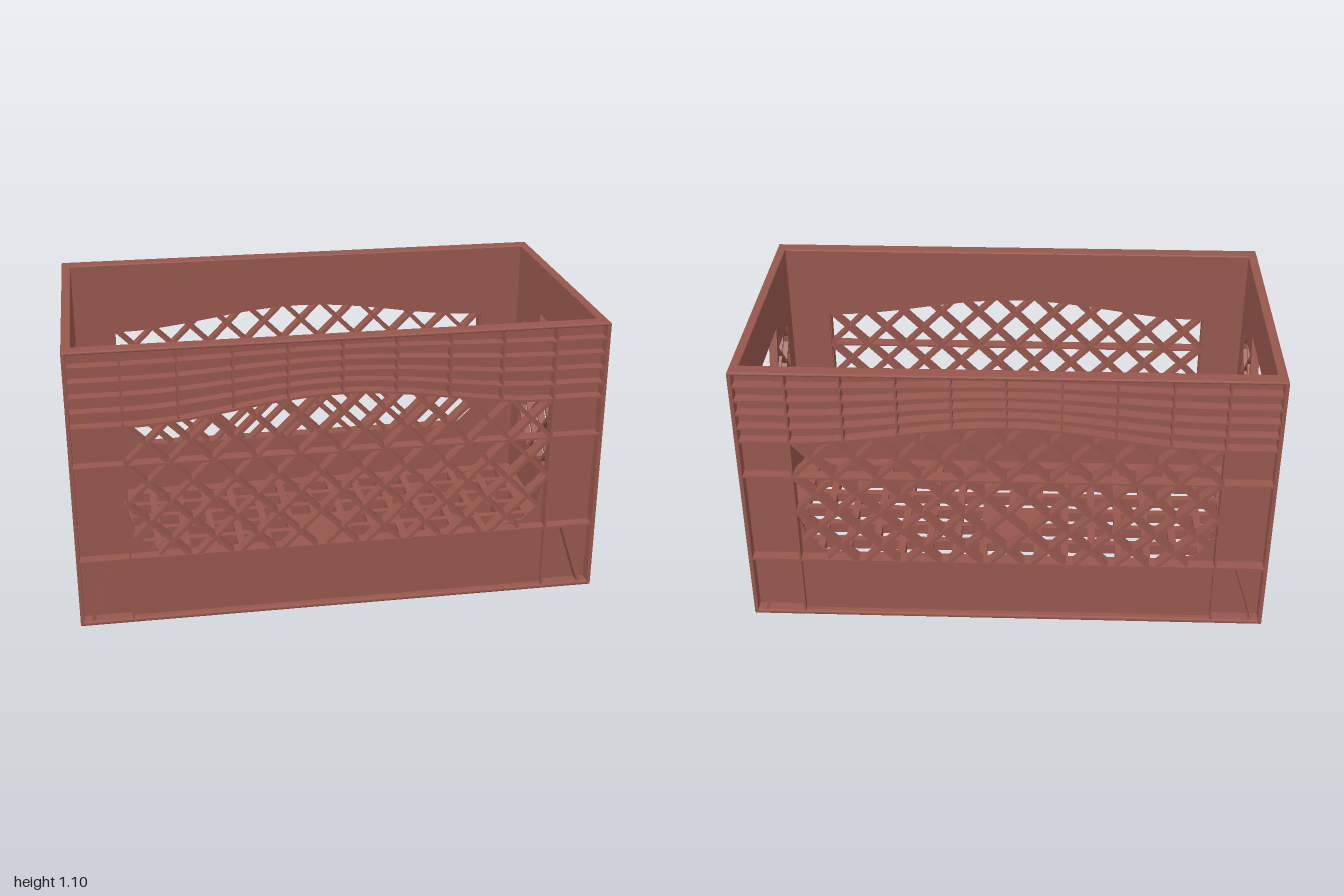
import * as THREE from 'three';

const H = 1.1, HX = 1, HZ = 0.547;
const plastic = new THREE.MeshStandardMaterial({ color: 0x96574d });
plastic.name = 'red brown plastic';

function add(group, geometry, name) {
  const mesh = new THREE.Mesh(geometry, plastic);
  mesh.name = name;
  group.add(mesh);
}

const toPoints = (pts) => pts.map(([x, y]) => new THREE.Vector2(x, y));
const rect = (x0, y0, x1, y1) => [[x0, y0], [x1, y0], [x1, y1], [x0, y1]];

// Flat plate between two depths, with optional holes
function plate(outline, holes, z0, z1) {
  const shape = new THREE.Shape(toPoints(outline));
  for (const h of holes) shape.holes.push(new THREE.Path(toPoints(h)));
  const g = new THREE.ExtrudeGeometry(shape, { depth: z1 - z0, bevelEnabled: false });
  return g.translate(0, 0, z0);
}

function box(x0, y0, x1, y1, z0, z1) {
  const g = new THREE.BoxGeometry(x1 - x0, y1 - y0, z1 - z0);
  return g.translate((x0 + x1) / 2, (y0 + y1) / 2, (z0 + z1) / 2);
}

// Straight bar between two points of a wall
function bar([ax, ay], [bx, by], width, z0, z1) {
  const g = new THREE.BoxGeometry(Math.hypot(bx - ax, by - ay), width, z1 - z0);
  g.rotateZ(Math.atan2(by - ay, bx - ax));
  return g.translate((ax + bx) / 2, (ay + by) / 2, (z0 + z1) / 2);
}

// Diagonal lattice, each bar cut to the window outline
function lattice(group, outline, pitch, y0, width, z0, z1) {
  for (const s of [1, -1]) {
    for (let k = -12; k <= 12; k++) {
      const c = y0 + k * pitch; // line y + s * x = c
      const hits = [];
      outline.forEach(([ax, ay], i) => {
        const [bx, by] = outline[(i + 1) % outline.length];
        const da = ay + s * ax - c, db = by + s * bx - c;
        if ((da < 0) !== (db < 0)) hits.push(ax + (bx - ax) * da / (da - db));
      });
      hits.sort((a, b) => a - b);
      for (let i = 0; i + 1 < hits.length; i += 2) {
        const a = hits[i] - 0.004, b = hits[i + 1] + 0.004;
        if (b - a > 0.02) add(group, bar([a, c - s * a], [b, c - s * b], width, z0, z1), 'latticeBar');
      }
    }
  }
}

// Arched rise of the long windows and of the ribs above them
const arch = (x) => (Math.abs(x) < 0.8 ? 0.04 * (1 + Math.cos(Math.PI * x / 0.8)) : 0);

function longWall() {
  const g = new THREE.Group();
  const inner = 0.49, back = 0.498, out = HZ - 0.002;
  const top = [];
  for (let i = 0; i <= 16; i++) top.push([0.8 - i * 0.1, 0.8 + arch(0.8 - i * 0.1)]);
  const win = [[-0.8, 0.45], [-0.77, 0.34], [-0.72, 0.29], [-0.62, 0.27],
    [0.62, 0.27], [0.72, 0.29], [0.77, 0.34], [0.8, 0.45], ...top];
  add(g, plate(rect(-0.988, 0.015, 0.988, 1.095), [win], inner, back + 0.002), 'longWallSheet');
  lattice(g, win, 0.16, 0.65, 0.014, inner + 0.002, out - 0.002);
  add(g, box(-0.995, 0.646, 0.995, 0.654, inner + 0.004, out), 'middleRib');

  // Lower panel with its ledge, and the posts beside it
  add(g, box(-0.8, 0.012, 0.8, 0.265, back, out - 0.025), 'lowerPanel');
  add(g, box(-0.995, 0.264, 0.995, 0.272, back, out), 'panelLedge');
  for (const s of [-1, 1]) {
    add(g, box(s * 0.8 - 0.004, 0.01, s * 0.8 + 0.004, H - 0.01, back, out), 'postRib');
    add(g, bar([s * 0.87, 0.267], [s * 0.95, 0.02], 0.01, back, out), 'cornerBrace');
  }

  // Ribbed band above the window
  for (let k = 0; k < 5; k++) {
    const lower = [], upper = [];
    for (let i = 0; i <= 40; i++) {
      const x = -0.995 + i * 0.04975;
      const y = 0.8 + k * 0.058 + arch(x) * (1 - k / 5);
      lower.push([x, y]);
      upper.unshift([x, y + 0.009]);
    }
    add(g, plate([...lower, ...upper], [], back, out), 'bandRib');
  }
  for (let i = -3; i <= 3; i++) {
    const x = i * 0.2;
    add(g, box(x - 0.004, 0.802 + arch(x), x + 0.004, H - 0.01, back, out), 'bandUpright');
  }
  return g;
}

function shortWall() {
  const g = new THREE.Group();
  const inner = 0.965, back = 0.974, out = HX - 0.002;
  const handle = [[-0.135, 0.745], [0.135, 0.745], [0.175, 0.895], [-0.175, 0.895]];
  const cup = [[0.19, 0.8], [0.15, 0.735], [0.1, 0.71], [0.04, 0.69],
    [-0.04, 0.69], [-0.1, 0.71], [-0.15, 0.735], [-0.19, 0.8]];
  const win = [[-0.385, 0.27], [0.385, 0.27], [0.385, 0.8], ...cup, [-0.385, 0.8]];
  add(g, plate(rect(-0.495, 0.015, 0.495, 1.095), [win, handle], inner, back), 'shortWallSheet');
  add(g, plate([[-0.2, 0.955], [-0.2, 0.8], ...cup.slice().reverse(), [0.2, 0.8], [0.2, 0.955]],
    [handle], back - 0.002, out), 'handleSurround');
  lattice(g, win, 0.163, 0.327, 0.015, inner + 0.001, out - 0.001);

  // Lower panel and post ribs
  add(g, box(-0.385, 0.012, 0.385, 0.265, back - 0.003, out - 0.012), 'lowerPanel');
  add(g, box(-0.385, 0.26, 0.385, 0.27, back - 0.003, out), 'panelLedge');
  for (const s of [-1, 1]) {
    add(g, box(s * 0.395 - 0.01, 0.01, s * 0.395 + 0.01, 0.8, back - 0.002, out), 'postRib');
    for (const y of [0.267, 0.652]) {
      add(g, box(s * 0.445 - 0.045, y - 0.004, s * 0.445 + 0.045, y + 0.004, back, out), 'postLedge');
    }
  }

  // Grid of square pockets around the handle
  for (const y of [0.803, 0.873, 0.947, 1.02]) {
    const spans = y < 0.94 ? [[-0.49, -0.195], [0.195, 0.49]] : [[-0.49, 0.49]];
    for (const [a, b] of spans) add(g, box(a, y - 0.008, b, y + 0.008, back, out), 'pocketRib');
  }
  for (let i = 0; i <= 10; i++) {
    const x = -0.485 + i * 0.097;
    const low = Math.abs(x) < 0.2 ? 0.945 : 0.8;
    add(g, box(x - 0.006, low, x + 0.006, H - 0.01, back, out), 'pocketUpright');
  }
  return g;
}

// Horizontal frame or grid with softened edges
function slab(hx, hz, holes, y0, y1, bevel) {
  const shape = new THREE.Shape(toPoints(rect(-hx + bevel, -hz + bevel, hx - bevel, hz - bevel)));
  for (const h of holes) shape.holes.push(new THREE.Path(toPoints(h)));
  const g = new THREE.ExtrudeGeometry(shape, {
    depth: y1 - y0 - 2 * bevel, bevelEnabled: bevel > 0,
    bevelSize: bevel, bevelThickness: bevel, bevelSegments: 2,
  });
  return g.rotateX(-Math.PI / 2).translate(0, y0 + bevel, 0);
}

export function createModel() {
  const crate = new THREE.Group();
  crate.name = 'crate';

  for (const s of [0, 1]) {
    const long = longWall();
    long.name = s ? 'backWall' : 'frontWall';
    long.rotation.y = s * Math.PI;
    const short = shortWall();
    short.name = s ? 'rightWall' : 'leftWall';
    short.rotation.y = s ? -Math.PI / 2 : Math.PI / 2;
    crate.add(long, short);
  }

  // Thin corner flanges
  for (const sx of [-1, 1]) {
    for (const sz of [-1, 1]) {
      const flange = slab(0.007, 0.031, [], 0.005, H - 0.005, 0.002);
      add(crate, flange.translate(sx * (HX - 0.007), 0, sz * (HZ - 0.031)), 'cornerFlange');
    }
  }

  // Top rim and bottom foot
  add(crate, slab(HX, HZ, [rect(-0.97, -0.495, 0.97, 0.495)], H - 0.013, H, 0.005), 'rim');
  add(crate, slab(HX, HZ, [rect(-0.935, -0.482, 0.935, 0.482)], 0, 0.018, 0.006), 'foot');

  // Floor grid with a solid square in the middle
  const holes = [];
  for (let i = 0; i < 16; i++) {
    for (let j = 0; j < 8; j++) {
      if ((i === 7 || i === 8) && (j === 3 || j === 4)) continue;
      const x = (i - 7.5) * 0.1127, z = (j - 3.5) * 0.1125;
      holes.push(rect(x - 0.041, z - 0.041, x + 0.041, z + 0.041));
    }
  }
  add(crate, slab(0.97, 0.495, holes, 0.015, 0.06, 0), 'floorGrid');
  return crate;
}
